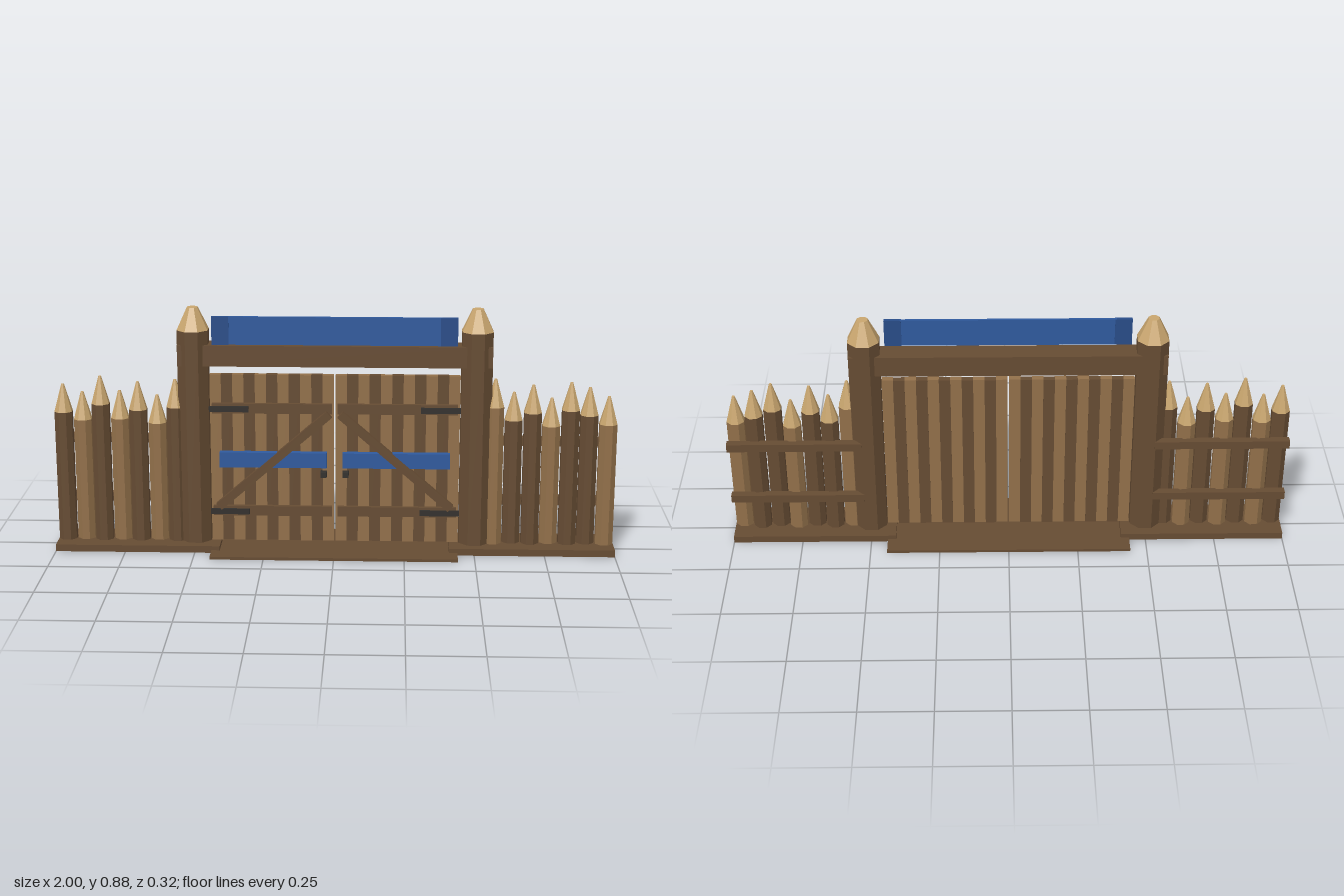
import * as THREE from 'three';

const mat = (name, color) => {
  const m = new THREE.MeshStandardMaterial({ color });
  m.name = name;
  return m;
};

export function createModel() {
  const group = new THREE.Group();
  const darkWood = mat('dark wood', 0x664c33);
  const lightWood = mat('light wood', 0x92704a);
  const cutWood = mat('cut wood', 0xc8a56e);
  const blue = mat('blue cloth', 0x2f5a9e);
  const deepBlue = mat('deep blue trim', 0x284c88);
  const iron = mat('iron', 0x33302d);

  function add(name, geometry, material, x, y, z) {
    const m = new THREE.Mesh(geometry, material);
    m.name = name;
    m.position.set(x, y, z);
    group.add(m);
    return m;
  }
  // box given by its lower and upper limits on each axis
  function box(name, material, x0, x1, y0, y1, z0, z1) {
    const [a, b] = [Math.min(x0, x1), Math.max(x0, x1)];
    return add(name, new THREE.BoxGeometry(b - a, y1 - y0, z1 - z0), material,
      (a + b) / 2, (y0 + y1) / 2, (z0 + z1) / 2);
  }
  // faceted log with a sharpened, pale tip
  function log(name, material, x, z, r, tipR, shoulder, top) {
    const side = new THREE.CylinderGeometry(r, r, shoulder - 0.002, 8).rotateY(Math.PI / 8).toNonIndexed();
    const tip = new THREE.CylinderGeometry(tipR, r, top - shoulder, 8).rotateY(Math.PI / 8).toNonIndexed();
    side.computeVertexNormals();
    tip.computeVertexNormals();
    add(name, side, material, x, shoulder / 2 + 0.001, z);
    add(name + 'Tip', tip, cutWood, x, (shoulder + top) / 2, z);
  }

  // threshold and lintel
  box('threshold', darkWood, -0.44, 0.44, 0, 0.01, -0.16, 0.16);
  box('lintel', darkWood, -0.553, 0.553, 0.675, 0.75, -0.04, 0.04);

  // banner above the lintel
  box('banner', blue, -0.375, 0.375, 0.755, 0.855, 0.034, 0.044);
  for (const s of [-1, 1]) box('bannerEnd', deepBlue, s * 0.37, s * 0.43, 0.755, 0.855, 0.032, 0.047);

  // stake tips, listed from -x to +x on each side
  const tips = {
    '-1': [0.6, 0.57, 0.63, 0.575, 0.61, 0.56, 0.62],
    '1': [0.63, 0.58, 0.61, 0.56, 0.62, 0.6, 0.57],
  };
  const lightStakes = { '-1': [1, 3, 5], '1': [0, 3, 6] };

  for (const s of [-1, 1]) {
    // footing, gate post and palisade
    box('footing', darkWood, s * 0.41, s * 1, 0, 0.025, -0.09, 0.09);
    log('gatePost', darkWood, s * 0.5, 0, 0.059, 0.02, 0.8, 0.88);
    tips[s].forEach((top, i) => {
      const x = s < 0 ? -0.967 + i * 0.0667 : 0.567 + i * 0.0667;
      const material = lightStakes[s].includes(i) ? lightWood : darkWood;
      log('stake', material, x, i % 2 ? -0.005 : 0.006, 0.0335, 0.005, top - 0.1, top);
    });
    // rails behind the palisade
    for (const y of [0.17, 0.39]) box('palisadeRail', darkWood, s * 0.52, s * 1, y - 0.015, y + 0.015, -0.058, -0.03);

    // gate leaf planks
    for (let i = 0; i < 11; i++) {
      const x = 0.003 + i * 0.04;
      const light = i % 2 === 0;
      const dz = light ? 0.003 : 0;
      box('plank', light ? lightWood : darkWood, s * x, s * (x + 0.04), 0.025, 0.64, -0.012 + dz, 0.012 + dz);
    }
    // cross rails with iron hinges
    for (const y of [0.14, 0.52]) {
      box('gateRail', darkWood, s * 0.01, s * 0.435, y - 0.018, y + 0.018, 0.01, 0.029);
      box('hinge', iron, s * 0.305, s * 0.445, y - 0.011, y + 0.009, 0.028, 0.037);
    }
    // diagonal brace
    const [dx, dy] = [0.395, -0.345];
    const brace = add('brace', new THREE.BoxGeometry(Math.hypot(dx, dy), 0.03, 0.02), darkWood, s * 0.217, 0.33, 0.031);
    brace.rotation.z = s * Math.atan2(dy, dx);
    // painted bar and pull handle
    box('paintedBar', blue, s * 0.028, s * 0.41, 0.305, 0.36, 0.015, 0.0425);
    box('handle', iron, s * 0.028, s * 0.05, 0.272, 0.29, 0.012, 0.046);
  }
  // braces pass in front of the painted bars
  group.children.filter((m) => m.name === 'paintedBar').forEach((m) => { m.position.z -= 0.005; });
  return group;
}
